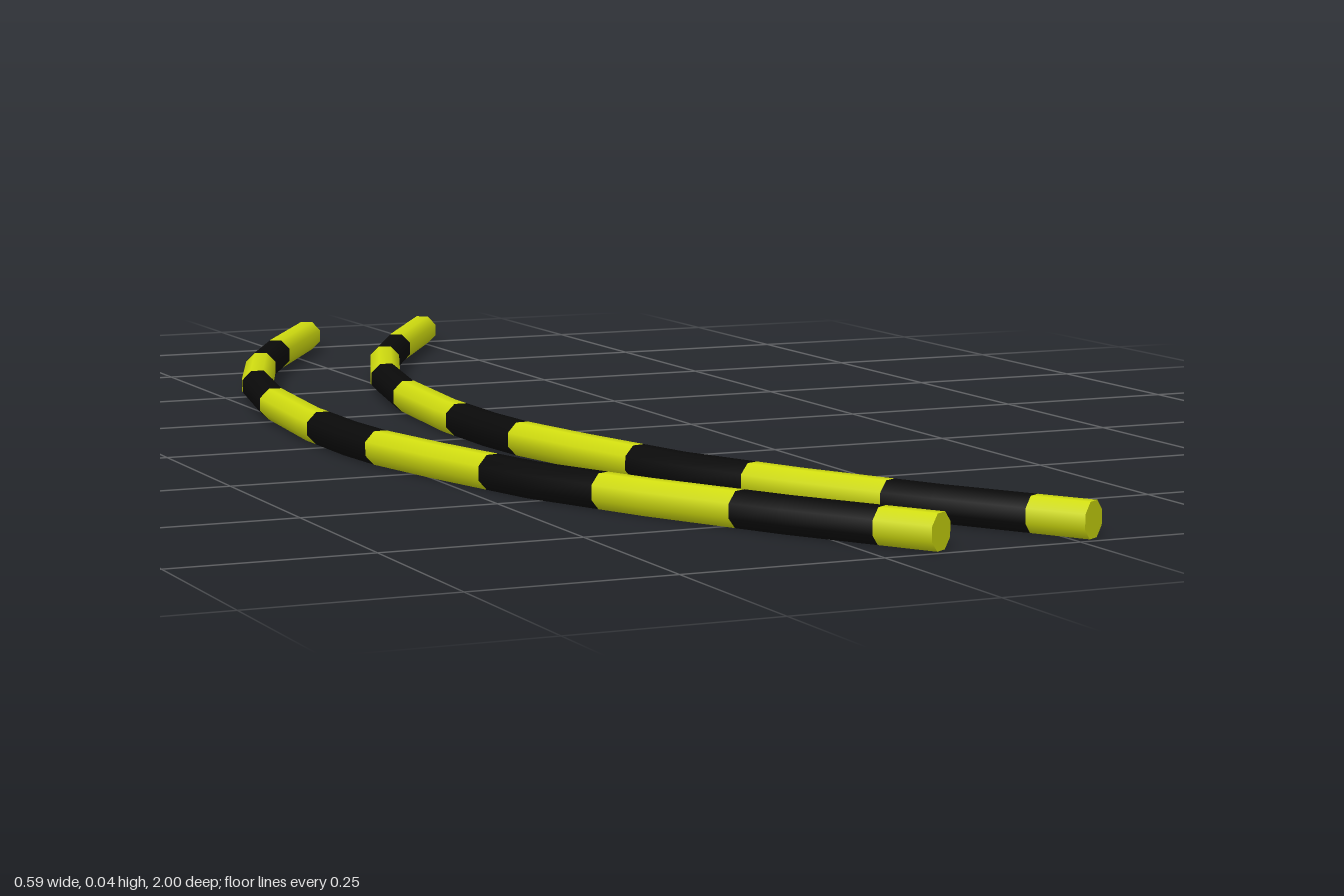
import * as THREE from 'three';

const SIDES = 8;
const RADIUS = 0.0215 / Math.cos(Math.PI / SIDES); // flats on top, bottom and sides
const GAP = 0.197; // spacing between the two bars

// Bent centre line as [x, z], from back to front
const PATH = [
  [0.053, -0.988], [-0.068, -0.79], [-0.143, -0.65], [-0.214, -0.465], [-0.255, -0.28],
  [-0.2755, -0.07], [-0.2755, 0.07], [-0.268, 0.16], [-0.241, 0.29], [-0.193, 0.476],
  [-0.119, 0.645], [-0.026, 0.82], [0.079, 0.985],
];
// z positions where the colour changes
const BREAKS = [-0.988, -0.78, -0.645, -0.457, -0.27, -0.03, 0.16, 0.398, 0.58, 0.76, 0.922, 0.985];

const tangentOf = (i) => new THREE.Vector3(PATH[i + 1][0] - PATH[i][0], 0, PATH[i + 1][1] - PATH[i][1]).normalize();

// Point and direction on the centre line at a given z (averaged at bends)
function sample(z) {
  const bend = PATH.findIndex((p) => Math.abs(p[1] - z) < 1e-6);
  let i = 0;
  while (i < PATH.length - 2 && z > PATH[i + 1][1]) i++;
  const [a, b] = [PATH[i], PATH[i + 1]];
  const x = a[0] + (b[0] - a[0]) * (z - a[1]) / (b[1] - a[1]);
  const tangent = tangentOf(i);
  if (bend > 0 && bend < PATH.length - 1) tangent.copy(tangentOf(bend - 1)).add(tangentOf(bend)).normalize();
  return { centre: new THREE.Vector3(x, 0.0215, z), tangent };
}

// One coloured length of tube, with optional end discs
function stripeGeometry(z0, z1, capStart, capEnd) {
  const up = new THREE.Vector3(0, 1, 0);
  const zs = [z0, ...PATH.map((p) => p[1]).filter((z) => z > z0 + 1e-6 && z < z1 - 1e-6), z1];
  const position = [], normal = [], index = [];
  const row = SIDES + 1;
  const addRing = ({ centre, tangent }, flat) => {
    const side = up.clone().cross(tangent);
    for (let j = 0; j < row; j++) {
      const a = ((j + 0.5) / SIDES) * Math.PI * 2;
      const out = side.clone().multiplyScalar(Math.cos(a)).addScaledVector(up, Math.sin(a));
      position.push(...centre.clone().addScaledVector(out, RADIUS).toArray());
      normal.push(...(flat || out).toArray());
    }
  };
  zs.forEach((z) => addRing(sample(z)));
  for (let i = 0; i < zs.length - 1; i++) {
    for (let j = 0; j < SIDES; j++) {
      const a = i * row + j, c = a + row;
      index.push(a, a + 1, c, a + 1, c + 1, c);
    }
  }
  const addCap = (z, sign) => {
    const s = sample(z), first = position.length / 3;
    addRing(s, s.tangent.clone().multiplyScalar(sign));
    for (let j = 1; j < SIDES - 1; j++) {
      index.push(first, first + j + (sign > 0 ? 0 : 1), first + j + (sign > 0 ? 1 : 0));
    }
  };
  if (capStart) addCap(z0, -1);
  if (capEnd) addCap(z1, 1);
  const g = new THREE.BufferGeometry();
  g.setAttribute('position', new THREE.Float32BufferAttribute(position, 3));
  g.setAttribute('normal', new THREE.Float32BufferAttribute(normal, 3));
  g.setIndex(index);
  return g;
}

export function createModel() {
  const yellow = new THREE.MeshStandardMaterial({ color: 0xd0dc10 });
  yellow.name = 'yellow';
  const black = new THREE.MeshStandardMaterial({ color: 0x0a0a0a });
  black.name = 'black';

  const model = new THREE.Group();
  model.name = 'stripedCurvedBars';
  const last = BREAKS.length - 2;
  const stripes = BREAKS.slice(0, -1).map((z, i) => stripeGeometry(z, BREAKS[i + 1], i === 0, i === last));

  // Two identical bars side by side
  ['rightBar', 'leftBar'].forEach((name, k) => {
    const bar = new THREE.Group();
    bar.name = name;
    bar.position.x = k * GAP;
    stripes.forEach((geometry, i) => {
      const mesh = new THREE.Mesh(geometry, i % 2 ? black : yellow);
      mesh.name = i % 2 ? 'blackStripe' : 'yellowStripe';
      bar.add(mesh);
    });
    model.add(bar);
  });
  return model;
}
